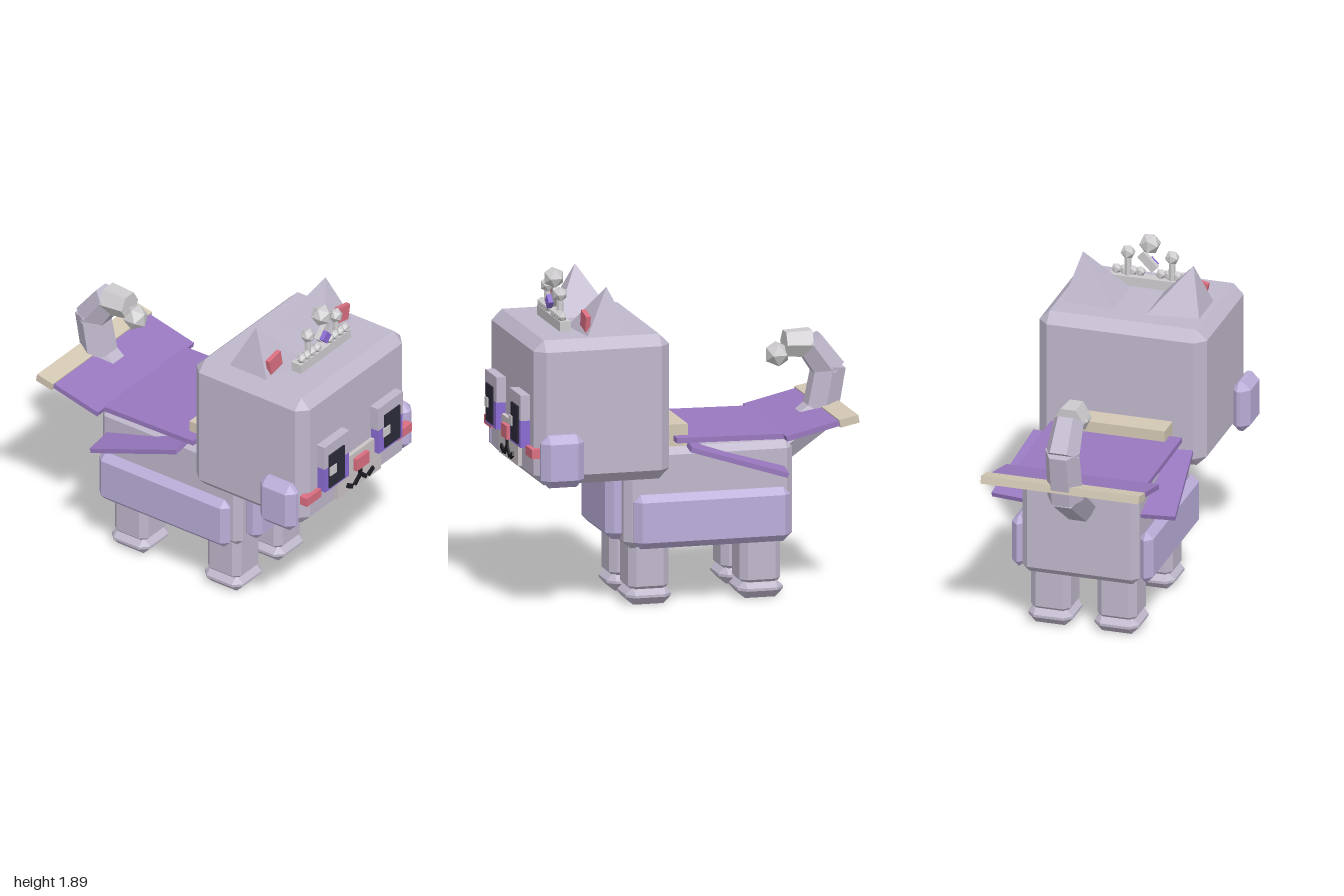
import * as THREE from 'three';
import { ConvexGeometry } from 'three/addons/geometries/ConvexGeometry.js';

const mat = (name, color) => {
  const m = new THREE.MeshStandardMaterial({ color, flatShading: true });
  m.name = name;
  return m;
};

export function createModel() {
  const model = new THREE.Group();
  const fur = mat('fur', 0xbfb7cb), patch = mat('lavenderPatch', 0xbaadd8);
  const cloth = mat('purpleCloth', 0x9878bf), cream = mat('creamTrim', 0xd3c8b4);
  const silver = mat('silver', 0xcdcbcd), pink = mat('pink', 0xd96e80);
  const muzzleMat = mat('muzzle', 0xcbc3c6), iris = mat('iris', 0x8a6bd2);
  const pupilMat = mat('pupil', 0x2c2a3a), mouthMat = mat('mouth', 0x1c1b22);

  const add = (name, geo, material, x, y, z) => {
    const m = new THREE.Mesh(geo, material);
    m.name = name;
    m.position.set(x, y, z);
    model.add(m);
    return m;
  };
  const box = (name, material, w, h, d, x, y, z) =>
    add(name, new THREE.BoxGeometry(w, h, d), material, x, y, z);
  const ball = (name, material, r, x, y, z) =>
    add(name, new THREE.IcosahedronGeometry(r, 0), material, x, y, z);

  // Box with every edge cut at 45 degrees
  const chamferBox = (name, material, w, h, d, c, x, y, z) => {
    const pts = [];
    for (const i of [-1, 1]) for (const j of [-1, 1]) for (const k of [-1, 1]) {
      const a = w / 2, b = h / 2, e = d / 2;
      pts.push(new THREE.Vector3(i * a, j * (b - c), k * (e - c)),
        new THREE.Vector3(i * (a - c), j * b, k * (e - c)),
        new THREE.Vector3(i * (a - c), j * (b - c), k * e));
    }
    return add(name, new ConvexGeometry(pts), material, x, y, z);
  };

  // Flat board spanning two points in the side plane
  const board = (name, material, w, t, z0, y0, z1, y1, x = 0) => {
    const m = box(name, material, w, t, Math.hypot(z1 - z0, y1 - y0), x, (y0 + y1) / 2, (z0 + z1) / 2);
    m.rotation.order = 'YXZ';
    m.rotation.x = Math.atan2(y1 - y0, z0 - z1);
    return m;
  };

  // Head and body
  chamferBox('head', fur, 0.985, 0.83, 0.79, 0.06, 0, 1.165, 0.535);
  chamferBox('body', fur, 0.69, 0.57, 0.98, 0.04, 0, 0.615, -0.12);
  chamferBox('chestPatch', patch, 0.57, 0.42, 0.12, 0.04, 0, 0.585, 0.4);

  for (const s of [-1, 1]) {
    chamferBox('sidePatch', patch, 0.085, 0.31, 0.91, 0.04, s * 0.374, 0.492, -0.125);
    chamferBox('cheekTuft', patch, 0.115, 0.3, 0.25, 0.045, s * 0.528, 0.905, 0.79);

    // Legs and paws
    for (const z of [0.218, -0.432]) {
      chamferBox('leg', fur, 0.235, 0.33, 0.235, 0.038, s * 0.195, 0.235, z);
      chamferBox('paw', fur, 0.262, 0.105, 0.265, 0.045, s * 0.195, 0.0525, z);
    }

    // Ears lean outward
    const earGeo = new THREE.ConeGeometry(0.238, 0.31, 4);
    earGeo.rotateY(Math.PI / 4);
    earGeo.translate(0, -0.31, 0);
    earGeo.translate(0, 0.155, 0);
    const ear = add('ear', earGeo, fur, s * 0.325, 1.84, 0.475);
    ear.rotation.z = -s * 0.217;
    box('innerEar', pink, 0.108, 0.093, 0.028, s * 0.316, 1.652, 0.594).rotation.z = -s * 0.19;

    // Eyes
    box('eyelid', fur, 0.233, 0.145, 0.065, s * 0.25, 1.183, 0.9525);
    box('iris', iris, 0.22, 0.155, 0.065, s * 0.25, 1.033, 0.9525);
    box('pupil', pupilMat, 0.14, 0.215, 0.009, s * 0.26, 1.08, 0.989);
    box('eyeGlint', silver, 0.06, 0.055, 0.009, s * 0.25 - 0.05, 1.082, 0.9955);

    // Blush
    box('blush', pink, 0.137, 0.053, 0.05, s * 0.424, 0.943, 0.93);

    // Mouth strokes on each side
    box('mouthCurve', mouthMat, 0.07, 0.026, 0.012, s * 0.027, 0.866, 0.961).rotation.z = -s * 0.68;
    box('mouthCorner', mouthMat, 0.055, 0.026, 0.012, s * 0.098, 0.857, 0.961).rotation.z = s * 0.5;

    // Crown posts and beads
    add('crownPost', new THREE.CylinderGeometry(0.018, 0.022, 0.14, 6), silver, s * 0.13, 1.695, 0.69);
    ball('crownPearl', silver, 0.043, s * 0.13, 1.772, 0.69);
    for (const x of [0.2, 0.155, 0.105, 0.06]) ball('crownBead', silver, 0.031, s * x, 1.658, 0.7);

    // Loose side flaps of the cape
    board('capeFlap', cloth, 0.21, 0.028, 0.01, 0.91, -0.54, 0.745, s * 0.4).rotation.y = s * -0.13 * -1 * -1;
  }

  // Muzzle, nose and mouth
  box('muzzle', muzzleMat, 0.405, 0.23, 0.03, 0, 0.932, 0.94);
  box('nose', pink, 0.117, 0.077, 0.04, 0, 0.977, 0.96);
  box('mouthLine', mouthMat, 0.026, 0.07, 0.012, 0, 0.91, 0.961);

  // Crown centre
  box('crownBand', silver, 0.47, 0.06, 0.065, 0, 1.606, 0.688);
  box('crownStem', silver, 0.05, 0.12, 0.03, 0.0105, 1.728, 0.69).rotation.z = -Math.PI / 4;
  box('crownGem', iris, 0.057, 0.057, 0.03, 0, 1.705, 0.715).rotation.z = Math.PI / 4;
  ball('crownOrb', silver, 0.063, 0, 1.84, 0.69);

  // Cape with collar and hem
  box('collar', cream, 0.62, 0.125, 0.17, 0, 0.963, 0.082);
  board('capeMiddle', cloth, 0.77, 0.03, 0.08, 0.948, -0.55, 0.937);
  board('capeTail', cloth, 0.9, 0.03, -0.54, 0.935, -0.86, 1.01);
  board('capeHem', cream, 0.93, 0.045, -0.845, 1.007, -0.955, 1.03);

  // Curled tail made of six-sided segments: z, y at both ends and radii
  const segments = [
    [fur, -0.58, 0.775, -0.86, 0.98, 0.1, 0.105],
    [fur, -0.85, 0.94, -0.91, 1.25, 0.105, 0.1],
    [fur, -0.915, 1.215, -0.79, 1.39, 0.1, 0.088],
    [silver, -0.8, 1.38, -0.65, 1.385, 0.09, 0.078],
  ];
  for (const [material, z0, y0, z1, y1, r0, r1] of segments) {
    const dir = new THREE.Vector3(0, y1 - y0, z1 - z0);
    const geo = new THREE.CylinderGeometry(r1, r0, dir.length(), 6);
    geo.rotateY(Math.PI / 6);
    const seg = add('tailSegment', geo, material, 0, (y0 + y1) / 2, (z0 + z1) / 2);
    seg.quaternion.setFromUnitVectors(new THREE.Vector3(0, 1, 0), dir.normalize());
  }
  ball('tailTip', silver, 0.075, 0, 1.325, -0.61);

  return model;
}
